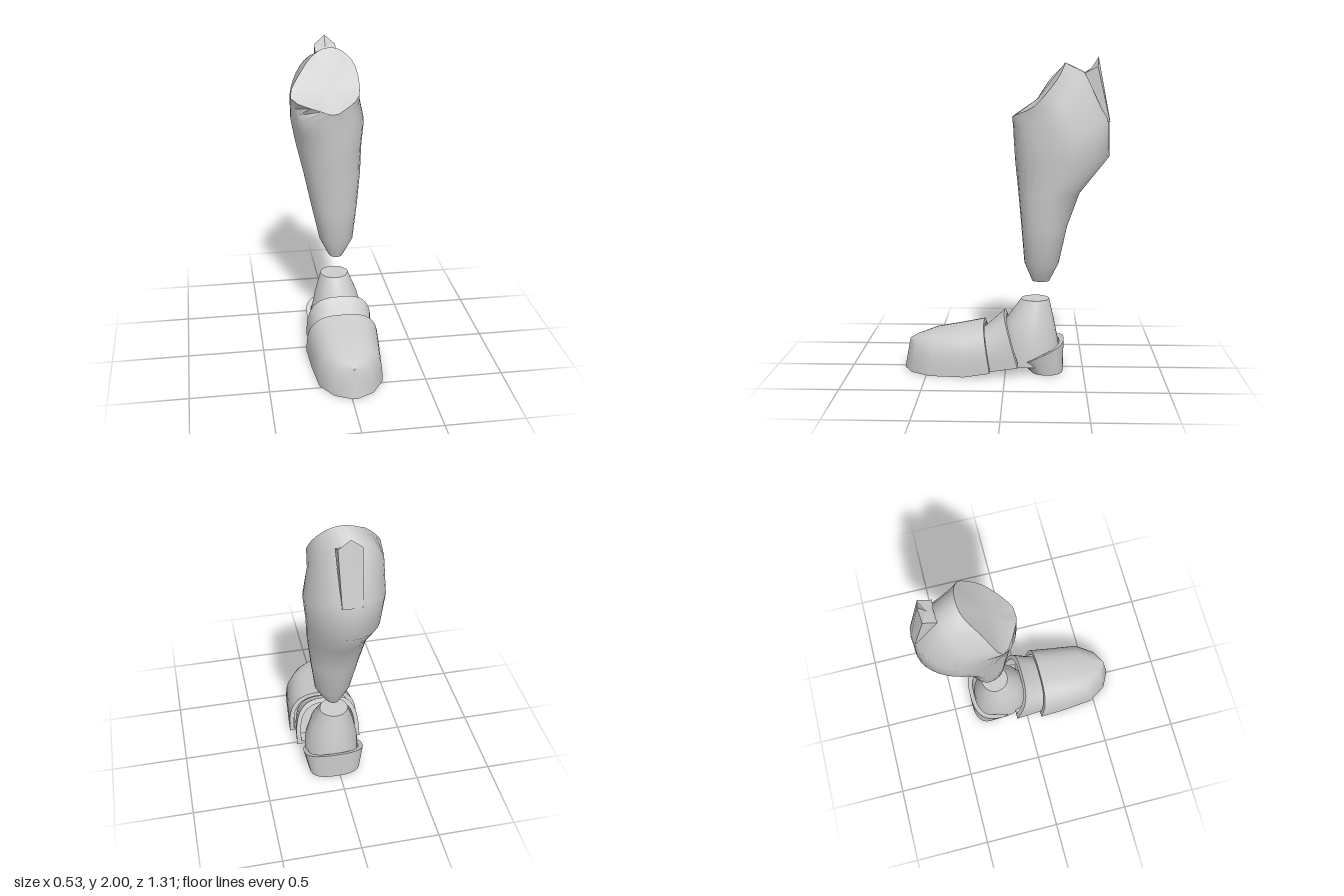
import * as THREE from 'three';
import { toCreasedNormals } from 'three/addons/utils/BufferGeometryUtils.js';

const V = (x, y, z) => new THREE.Vector3(x, y, z);
const lerp = THREE.MathUtils.lerp;
const material = new THREE.MeshStandardMaterial({ color: 0xcccccc, side: THREE.DoubleSide });

// Skin a stack of closed rings and close both ends with fans
function loft(name, rings, startCentre, endCentre, crease = 0.65) {
  const n = rings[0].length, pos = [];
  const tri = (...p) => p.forEach(v => pos.push(v.x, v.y, v.z));
  const mean = r => r.reduce((s, v) => s.add(v), V(0, 0, 0)).divideScalar(n);
  const first = rings[0], last = rings[rings.length - 1];
  const c0 = startCentre || mean(first), c1 = endCentre || mean(last);
  for (let j = 0; j < n; j++) {
    const k = (j + 1) % n;
    for (let i = 0; i < rings.length - 1; i++) {
      const a = rings[i], b = rings[i + 1];
      tri(a[j], b[j], a[k]);
      tri(a[k], b[j], b[k]);
    }
    tri(c0, first[j], first[k]);
    tri(c1, last[k], last[j]);
  }
  const g = new THREE.BufferGeometry();
  g.setAttribute('position', new THREE.Float32BufferAttribute(pos, 3));
  const mesh = new THREE.Mesh(toCreasedNormals(g, crease), material);
  mesh.name = name;
  return mesh;
}

// Smooth closed ring through a few control points
function smoothRing(points, n = 30) {
  const curve = new THREE.CatmullRomCurve3(points, true, 'catmullrom', 0.5);
  return Array.from({ length: n }, (_, i) => curve.getPoint(i / n));
}

// Level or tilted oval: left side, back, right side, front
const ANGLES = [0, 30, 60, 90, 120, 150, 180, 225, 270, 315];
function oval(x0, x1, zf, zb, yf, yb = yf) {
  return smoothRing(ANGLES.map(d => {
    const a = d * Math.PI / 180, t = (1 + Math.sin(a)) / 2;
    return V((x0 + x1) / 2 - Math.cos(a) * (x1 - x0) / 2, lerp(yf, yb, t * t), lerp(zf, zb, t));
  }));
}

// Flat-bottomed arch section of the foot, leaning from zb at the sole to zt at the top
function arch(zb, zt, yb, yt, w, n = 20) {
  return Array.from({ length: n + 1 }, (_, i) => {
    const a = Math.PI * (1 - i / n), c = Math.cos(a), s = Math.max(0, Math.sin(a));
    const h = Math.pow(s, 2 / 3);
    return V(0.02 + Math.sign(c) * Math.pow(Math.abs(c), 2 / 3) * w, lerp(yb, yt, h), lerp(zb, zt, h));
  });
}

// Squarish plan ring whose height follows a rule of z
function planRing(w, zf, zb, height, n = 32) {
  return Array.from({ length: n }, (_, i) => {
    const a = i / n * Math.PI * 2, c = -Math.cos(a), s = -Math.sin(a);
    const z = (zf + zb) / 2 + Math.sign(s) * Math.pow(Math.abs(s), 0.75) * (zf - zb) / 2;
    return V(0.02 + Math.sign(c) * Math.pow(Math.abs(c), 0.75) * w, height(z), z);
  });
}

function createModel() {
  const model = new THREE.Group();
  model.name = 'lowerLeg';

  // Shin and calf, ending in a slanted, slightly hollow knee opening
  const rim = smoothRing([
    V(-0.27, 1.70, -0.17), V(-0.18, 1.855, -0.275), V(-0.09, 1.935, -0.35), V(0, 1.965, -0.37),
    V(0.09, 1.94, -0.36), V(0.165, 1.85, -0.31), V(0.17, 1.70, -0.18), V(0.055, 1.64, -0.06),
    V(-0.01, 1.62, -0.04), V(-0.09, 1.638, -0.055),
  ]);
  model.add(loft('shin', [
    oval(-0.025, 0.07, -0.17, -0.28, 0.58),
    oval(-0.085, 0.14, -0.12, -0.34, 0.70),
    oval(-0.135, 0.17, -0.10, -0.39, 0.93),
    oval(-0.18, 0.195, -0.08, -0.47, 1.15),
    oval(-0.225, 0.215, -0.06, -0.655, 1.34, 1.38),
    oval(-0.252, 0.228, -0.052, -0.65, 1.45, 1.63),
    oval(-0.262, 0.185, -0.045, -0.49, 1.56, 1.91),
    rim,
  ], V(0.02, 0.572, -0.225), V(-0.03, 1.74, -0.2), 0.8));

  // Wedge-shaped tab standing up behind the knee
  const tab = (x, y, z) => [V(-x, y, z), V(0, y, z - 0.006), V(x, y, z)];
  const outer = tab(0.07, 1.94, -0.57);
  outer[1].set(0, 2, -0.578);
  const inner = tab(0.07, 1.90, -0.49).reverse();
  const foot = [...tab(0.06, 1.60, -0.65), ...tab(0.06, 1.60, -0.635).reverse()];
  model.add(loft('calfTab', [foot, [...outer, ...inner]], null, null, 0.4));

  // Ankle stump
  model.add(loft('ankle', [
    oval(-0.16, 0.20, 0.05, -0.345, 0.05),
    oval(-0.155, 0.195, 0.04, -0.34, 0.18),
    oval(-0.125, 0.155, -0.005, -0.31, 0.33),
    oval(-0.085, 0.10, -0.10, -0.28, 0.46),
  ]));

  // Heel cup with a rim that falls towards the front
  const rimHeight = z => lerp(0.06, 0.2, (-0.08 - z) / 0.295);
  model.add(loft('heelCup', [
    planRing(0.17, -0.16, -0.372, () => 0),
    planRing(0.20, -0.08, -0.375, rimHeight),
    planRing(0.17, -0.10, -0.345, rimHeight),
    planRing(0.16, -0.11, -0.335, () => 0.05),
  ]));

  // Instep collar, open towards the ankle
  model.add(loft('instepCollar', [
    arch(0.0, 0.07, 0.08, 0.31, 0.18),
    arch(-0.08, -0.005, 0.085, 0.345, 0.19),
    arch(-0.08, 0.01, 0.06, 0.375, 0.22),
    arch(0.09, 0.13, 0.03, 0.265, 0.20),
    arch(0.13, 0.17, 0.03, 0.25, 0.19),
  ]));

  // Toe cap, its back edge flaring over the collar
  model.add(loft('toeCap', [
    arch(0.16, 0.19, 0.04, 0.26, 0.195),
    arch(0.095, 0.135, 0.04, 0.285, 0.21),
    arch(0.095, 0.14, 0.03, 0.31, 0.24),
    arch(0.26, 0.30, 0, 0.28, 0.225),
    arch(0.48, 0.45, 0, 0.255, 0.203),
    arch(0.60, 0.57, 0, 0.215, 0.125),
    arch(0.655, 0.62, 0, 0.195, 0.015),
  ]));

  return model;
}

export { createModel };
